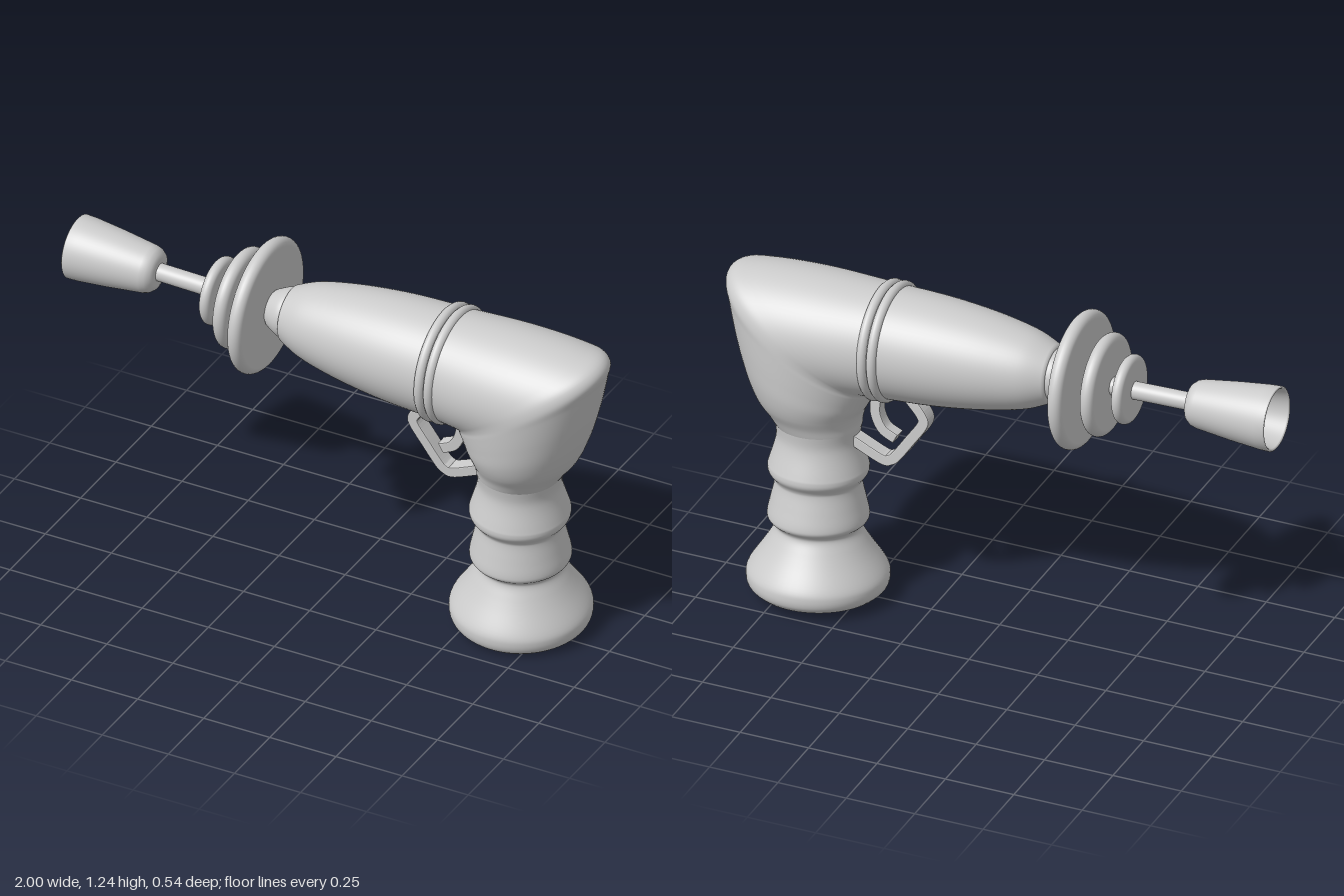
import * as THREE from 'three';

const material = new THREE.MeshStandardMaterial({ color: 0xcccccc, side: THREE.DoubleSide });
const V2 = (x, y) => new THREE.Vector2(x, y);

function part(name, geometry) {
  const mesh = new THREE.Mesh(geometry, material);
  mesh.name = name;
  return mesh;
}

// Smooth profile through [radius, height] points
const smooth = (pts, n) => new THREE.SplineCurve(pts.map(p => V2(...p))).getPoints(n);

// Lathe around the barrel axis; points are [radius, x], a repeated point makes a crease
function turned(name, points) {
  const geo = new THREE.LatheGeometry(points.map(p => (p.isVector2 ? p : V2(...p))), 64);
  return part(name, geo.rotateZ(-Math.PI / 2));
}

// Flat strip that follows a curve in the xy plane
function strip(name, pts, thickness, width) {
  const curve = new THREE.SplineCurve(pts.map(p => V2(...p)));
  const a = [], b = [];
  for (let i = 0; i <= 40; i++) {
    const p = curve.getPoint(i / 40), t = curve.getTangent(i / 40);
    a.push(V2(p.x - t.y * thickness / 2, p.y + t.x * thickness / 2));
    b.unshift(V2(p.x + t.y * thickness / 2, p.y - t.x * thickness / 2));
  }
  const geo = new THREE.ExtrudeGeometry(new THREE.Shape([...a, ...b]), {
    depth: width - 0.008, bevelSize: 0.004, bevelThickness: 0.004, bevelSegments: 2,
  });
  return part(name, geo.translate(0, 0, -width / 2 + 0.004));
}

// Loft of ellipses, each given by its outer point, inner point and half width
function loft(name, sections, steps, around) {
  const outer = new THREE.CatmullRomCurve3(sections.map(s => new THREE.Vector3(s[0], s[1], s[4])), false, 'centripetal');
  const inner = new THREE.CatmullRomCurve3(sections.map(s => new THREE.Vector3(s[2], s[3], 0)), false, 'centripetal');
  const pos = [], index = [];
  for (let i = 0; i <= steps; i++) {
    const o = outer.getPoint(i / steps), n = inner.getPoint(i / steps);
    for (let j = 0; j < around; j++) {
      const u = j / around * Math.PI * 2, k = (1 + Math.cos(u)) / 2;
      pos.push(n.x + (o.x - n.x) * k, n.y + (o.y - n.y) * k, Math.sin(u) * o.z);
      if (i < steps) {
        const j2 = (j + 1) % around, a = i * around + j, b = i * around + j2;
        index.push(a, a + around, b, b, a + around, b + around);
      }
    }
  }
  const geo = new THREE.BufferGeometry();
  geo.setAttribute('position', new THREE.Float32BufferAttribute(pos, 3));
  geo.setIndex(index);
  geo.computeVertexNormals();
  return part(name, geo);
}

export function createModel() {
  const model = new THREE.Group();
  model.name = 'toyRayGun';

  // Everything is laid out around the barrel axis, then leaned slightly
  const gun = new THREE.Group();
  gun.name = 'gun';
  gun.position.set(0, 0.995, 0.03);
  gun.rotation.set(0.065, 0, -0.025);
  model.add(gun);

  // Hollow flared muzzle
  gun.add(turned('muzzle', [
    [0, -0.74], [0.05, -0.74], [0.05, -0.74], [0.08, -0.85], [0.102, -0.994], [0.107, -1],
    [0.112, -0.996], [0.111, -0.96], [0.1, -0.85], [0.084, -0.725], [0.078, -0.705],
    [0.066, -0.69], [0.05, -0.684], [0, -0.684],
  ]));

  // Rod and the three round-edged discs
  gun.add(turned('barrelRod', [[0.031, -0.7], [0.031, -0.2]]));
  for (const [x, r, h] of [[-0.46, 0.12, 0.02], [-0.375, 0.178, 0.025], [-0.285, 0.24, 0.027]]) {
    const profile = [[0, x - h]];
    for (let i = 0; i <= 12; i++) {
      const a = (i / 12 - 0.5) * Math.PI;
      profile.push([r - h + Math.cos(a) * h, x + Math.sin(a) * h]);
    }
    profile.push([0, x + h]);
    gun.add(turned('barrelDisc', profile));
  }

  // Collar and tapered body
  gun.add(turned('collar', [[0, -0.258], [0.06, -0.258], [0.06, -0.258],
    ...smooth([[0.066, -0.252], [0.08, -0.225], [0.088, -0.205], [0.09, -0.185]], 12)]));
  gun.add(turned('body', [[0.08, -0.19], [0.094, -0.19], [0.094, -0.19],
    ...smooth([[0.1, -0.187], [0.133, -0.11], [0.158, 0], [0.176, 0.12], [0.188, 0.25], [0.195, 0.42]], 36)]));
  for (const x of [0.397, 0.433]) {
    const ring = part('bodyRing', new THREE.TorusGeometry(0.191, 0.018, 14, 72).rotateY(Math.PI / 2));
    ring.position.x = x;
    gun.add(ring);
  }

  // Rear shell: fans from the round body, past the slanted crest, into the grip
  gun.add(loft('rearShell', [
    [0.42, 0.195, 0.42, -0.195, 0.195],
    [0.7, 0.205, 0.44, -0.195, 0.21],
    [0.9, 0.196, 0.455, -0.196, 0.216],
    [0.975, 0.182, 0.46, -0.198, 0.217],
    [0.997, 0.155, 0.465, -0.202, 0.217],
    [0.988, 0.1, 0.47, -0.21, 0.216],
    [0.958, -0.04, 0.485, -0.235, 0.211],
    [0.92, -0.17, 0.5, -0.262, 0.202],
    [0.885, -0.255, 0.515, -0.29, 0.184],
    [0.847, -0.31, 0.524, -0.325, 0.16],
    [0.82, -0.35, 0.526, -0.35, 0.147],
  ], 80, 72));

  // Ribbed grip with a flared foot
  const grip = part('grip', new THREE.LatheGeometry([
    V2(0, -0.965), V2(0.21, -0.965), V2(0.21, -0.965),
    ...smooth([
      [0.216, -0.962], [0.236, -0.942], [0.242, -0.912], [0.233, -0.88], [0.19, -0.815], [0.165, -0.775],
      [0.146, -0.74], [0.149, -0.722], [0.169, -0.702], [0.171, -0.68], [0.16, -0.63], [0.148, -0.575],
      [0.15, -0.555], [0.168, -0.53], [0.171, -0.51], [0.166, -0.49], [0.148, -0.43], [0.142, -0.39], [0.147, -0.345],
    ], 90),
  ], 64));
  grip.position.x = 0.673;
  gun.add(grip);

  // Trigger and its guard
  gun.add(strip('triggerGuard', [
    [0.36, -0.165], [0.325, -0.2], [0.288, -0.245], [0.284, -0.278], [0.33, -0.345],
    [0.378, -0.411], [0.402, -0.431], [0.435, -0.433], [0.55, -0.38],
  ], 0.03, 0.055));
  gun.add(strip('trigger', [
    [0.445, -0.16], [0.459, -0.24], [0.454, -0.285], [0.43, -0.327], [0.388, -0.35],
  ], 0.03, 0.045));

  return model;
}
